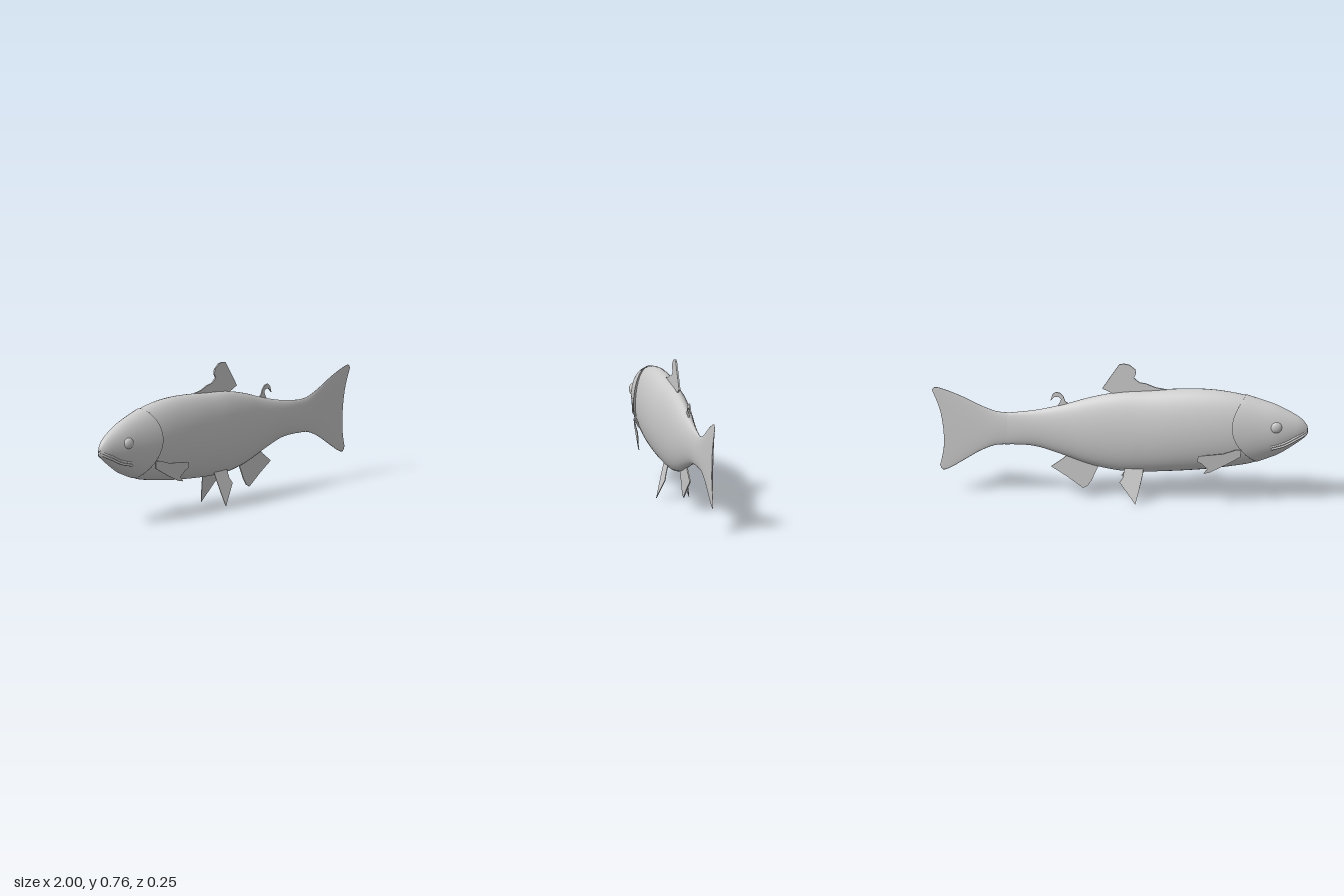
import * as THREE from 'three';

const material = new THREE.MeshStandardMaterial({ color: 0xcccccc, side: THREE.DoubleSide });

function addMesh(parent, name, geometry) {
  const mesh = new THREE.Mesh(geometry, material);
  mesh.name = name;
  parent.add(mesh);
  return mesh;
}

// Loft of oval rings along x. Row: top x, top y, bottom x, bottom y, half width, mid-height x shift
function loft(rows, rings, sides = 40) {
  const top = new THREE.CatmullRomCurve3(rows.map(r => new THREE.Vector3(r[0], r[1], r[4])), false, 'catmullrom');
  const bottom = new THREE.CatmullRomCurve3(rows.map(r => new THREE.Vector3(r[2], r[3], r[5] || 0)), false, 'catmullrom');
  const positions = [], index = [];
  for (let i = 0; i <= rings; i++) {
    const t = top.getPoint(i / rings), b = bottom.getPoint(i / rings);
    for (let j = 0; j < sides; j++) {
      const a = j / sides * Math.PI * 2, c = Math.cos(a), s = Math.sin(a), k = (1 + c) / 2;
      positions.push(b.x + (t.x - b.x) * k + b.z * s * s, b.y + (t.y - b.y) * k, Math.max(t.z, 0) * s);
      if (i < rings) {
        const p = i * sides + j, q = i * sides + (j + 1) % sides;
        index.push(p, q, p + sides, q, q + sides, p + sides);
      }
    }
  }
  const g = new THREE.BufferGeometry();
  g.setAttribute('position', new THREE.Float32BufferAttribute(positions, 3));
  g.setIndex(index);
  g.computeVertexNormals();
  return g;
}

// Thin fin cut from an outline, with its sideways lean given by a rule
function fin(points, thickness, lean = () => 0) {
  const shape = new THREE.Shape(points.map(p => new THREE.Vector2(...p)));
  const g = new THREE.ExtrudeGeometry(shape, { depth: thickness, bevelEnabled: false });
  const p = g.attributes.position;
  for (let i = 0; i < p.count; i++) {
    p.setZ(i, p.getZ(i) - thickness / 2 + lean(p.getX(i), p.getY(i)));
  }
  g.computeVertexNormals();
  return g;
}

export function createModel() {
  const fish = new THREE.Group();
  fish.name = 'fish';

  // Trunk: x, top, bottom, half width
  const trunk = [
    [-0.78, 0.56, 0.26, 0.06], [-0.7, 0.594, 0.226, 0.08], [-0.58, 0.619, 0.203, 0.094],
    [-0.45, 0.63, 0.184, 0.1], [-0.3, 0.626, 0.17, 0.1], [-0.15, 0.613, 0.161, 0.093],
    [0, 0.6, 0.162, 0.083], [0.15, 0.568, 0.19, 0.069], [0.3, 0.522, 0.24, 0.05],
    [0.45, 0.486, 0.284, 0.032], [0.6, 0.466, 0.29, 0.017],
  ];
  addMesh(fish, 'body', loft(trunk.map(([x, t, b, w]) => [x, t, x, b, w]), 60));

  // Head, ending in the curved edge of the gill covers and a lip folded inward
  addMesh(fish, 'head', loft([
    [-1, 0.418, -1, 0.412, 0.001],
    [-0.995, 0.448, -0.995, 0.388, 0.014],
    [-0.95, 0.493, -0.95, 0.35, 0.038],
    [-0.85, 0.547, -0.86, 0.288, 0.066, 0.005],
    [-0.76, 0.579, -0.8, 0.26, 0.083, 0.03],
    [-0.68, 0.603, -0.74, 0.237, 0.103, 0.09],
    [-0.678, 0.6, -0.738, 0.24, 0.1, 0.092],
    [-0.69, 0.585, -0.74, 0.25, 0.08, 0.085],
  ], 56));

  // Tail fin with a shallow fork
  addMesh(fish, 'tailFin', loft([
    [0.58, 0.467, 0.58, 0.289, 0.0175],
    [0.66, 0.474, 0.66, 0.283, 0.014],
    [0.75, 0.508, 0.74, 0.25, 0.01],
    [0.85, 0.556, 0.82, 0.2, 0.007],
    [0.94, 0.59, 0.9, 0.15, 0.005, -0.01],
    [0.985, 0.599, 0.94, 0.137, 0.004, -0.025],
    [1, 0.582, 0.956, 0.16, 0.003, -0.04],
    [0.999, 0.577, 0.955, 0.165, 0, -0.04],
  ], 48));

  // Fins on the centre line
  addMesh(fish, 'dorsalFin', fin([
    [-0.27, 0.6], [-0.25, 0.622], [-0.19, 0.632], [-0.14, 0.652], [-0.105, 0.657], [-0.075, 0.682],
    [-0.087, 0.705], [-0.082, 0.73], [-0.05, 0.755], [-0.02, 0.76], [0.003, 0.755],
    [0.05, 0.685], [0.093, 0.618], [0.02, 0.585],
  ], 0.008));
  addMesh(fish, 'adiposeFin', fin([
    [0.26, 0.52], [0.29, 0.538], [0.3, 0.565], [0.318, 0.585], [0.34, 0.59], [0.358, 0.578], [0.37, 0.54],
    [0.35, 0.562], [0.325, 0.565], [0.312, 0.552], [0.318, 0.535], [0.335, 0.505],
  ], 0.007));
  addMesh(fish, 'analFin', fin([
    [0.1, 0.2], [0.117, 0.175], [0.15, 0.1], [0.17, 0.07], [0.195, 0.056], [0.28, 0.118],
    [0.365, 0.172], [0.3, 0.22], [0.25, 0.27],
  ], 0.006));

  // Paired parts
  for (const side of [1, -1]) {
    const label = side > 0 ? 'left' : 'right';
    addMesh(fish, label + 'PectoralFin', fin([
      [-0.655, 0.325], [-0.62, 0.325], [-0.56, 0.305], [-0.43, 0.295], [-0.42, 0.265],
      [-0.445, 0.25], [-0.475, 0.22], [-0.455, 0.192], [-0.49, 0.2], [-0.57, 0.24], [-0.65, 0.285],
    ], 0.005, (x, y) => side * (0.09 + 0.14 * (x + 0.65) - 0.1 * (0.3 - y))));
    addMesh(fish, label + 'PelvicFin', fin([
      [-0.13, 0.2], [-0.127, 0.16], [-0.105, 0.06], [-0.09, 0.002], [-0.045, 0.06],
      [-0.004, 0.112], [-0.022, 0.14], [-0.03, 0.2],
    ], 0.004, (x, y) => side * (0.04 + (0.18 - y) * 0.27)));

    const eye = addMesh(fish, label + 'Eye', new THREE.SphereGeometry(0.03, 20, 14));
    eye.position.set(-0.84, 0.447, side * 0.064);
    eye.scale.z = 0.5;
    eye.rotation.y = side * -0.25;

    // Lips follow the side of the snout, leaving a crease between them
    for (const [lip, drop] of [['UpperLip', 0], ['LowerLip', -0.014]]) {
      const path = new THREE.CatmullRomCurve3([
        [-0.998, 0.422, 0.003], [-0.98, 0.405, 0.02], [-0.94, 0.385, 0.037],
        [-0.88, 0.355, 0.05], [-0.81, 0.337, 0.062],
      ].map(([x, y, z]) => new THREE.Vector3(x, y + drop, side * z)));
      addMesh(fish, label + lip, new THREE.TubeGeometry(path, 20, 0.006, 8));
    }
  }
  return fish;
}
